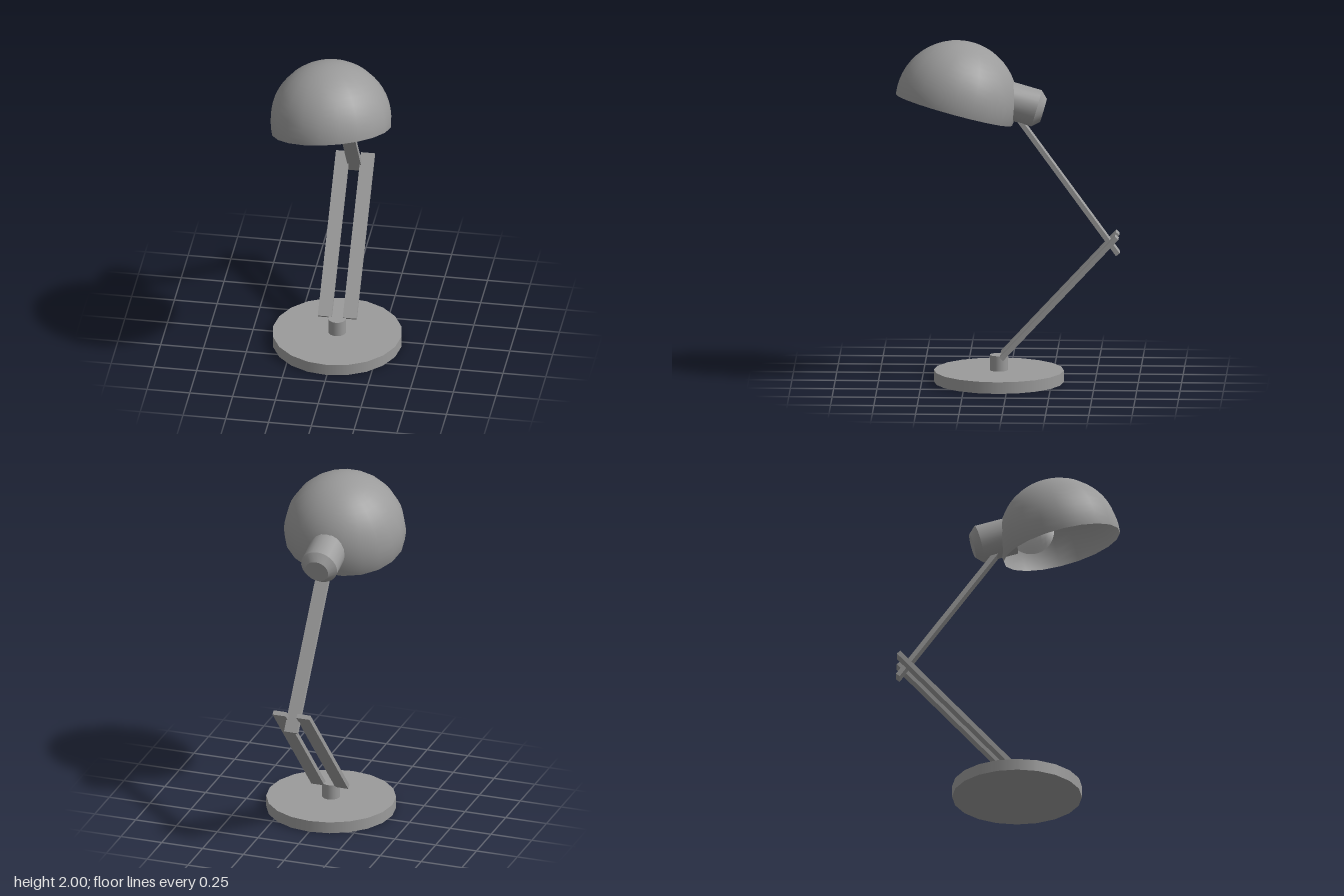
import * as THREE from 'three';
import { toCreasedNormals } from 'three/addons/utils/BufferGeometryUtils.js';

const UP = new THREE.Vector3(0, 1, 0);
const SIDES = 20;

export function createModel() {
  const lamp = new THREE.Group();
  lamp.name = 'deskLamp';
  const darkGrey = new THREE.MeshStandardMaterial({ color: 0x9b9b9b });
  const darkGreyOpen = new THREE.MeshStandardMaterial({ color: 0x9b9b9b, side: THREE.DoubleSide });
  const lightGrey = new THREE.MeshStandardMaterial({ color: 0xcccccc });

  const add = (name, geometry, position, axis = UP, material = darkGrey) => {
    const mesh = new THREE.Mesh(geometry, material);
    mesh.name = name;
    mesh.position.set(...position);
    mesh.quaternion.setFromUnitVectors(UP, axis);
    lamp.add(mesh);
    return mesh;
  };

  // Flat bar between two points [z, y] of the side plane, offset to x
  const addBar = (name, x, [z0, y0], [z1, y1]) => {
    const length = Math.hypot(z1 - z0, y1 - y0);
    const bar = add(name, new THREE.BoxGeometry(0.08, length, 0.027), [x, (y0 + y1) / 2, (z0 + z1) / 2]);
    bar.rotation.x = Math.atan2(z1 - z0, y1 - y0);
  };

  // Foot: weighted disc with a short post
  add('base', new THREE.CylinderGeometry(0.375, 0.375, 0.068, SIDES), [0, 0.034, 0.055]);
  add('post', new THREE.CylinderGeometry(0.052, 0.052, 0.1, SIDES), [0, 0.108, 0.055]);

  // Two lower bars and one upper bar, crossing at the elbow
  addBar('lowerArmLeft', 0.071, [0.037, 0.151], [-0.629, 0.868]);
  addBar('lowerArmRight', -0.075, [0.037, 0.151], [-0.629, 0.868]);
  addBar('upperArm', -0.001, [-0.633, 0.757], [-0.045, 1.567]);

  // Shade: a little more than half a sphere, open below, tipped forward and sideways
  const shadeAxis = new THREE.Vector3(-0.12, 1, -0.27).normalize();
  add('shade', new THREE.SphereGeometry(0.352, SIDES, 14, 0, Math.PI * 2, 0, THREE.MathUtils.degToRad(99)),
    [0.003, 1.648, 0.3], shadeAxis, darkGreyOpen);

  // Socket: cylinder with a bevelled back end, reaching into the shade
  const socketAxis = new THREE.Vector3(0, -0.28, -0.96).normalize();
  const profile = [[0, 0], [0.11, 0], [0.11, 0.2], [0.07, 0.242], [0, 0.242]]
    .map(([r, h]) => new THREE.Vector2(r, h));
  add('socket', toCreasedNormals(new THREE.LatheGeometry(profile, SIDES), 0.5),
    [-0.004, 1.663, 0.03], socketAxis);

  // Lighter bulb in line with the socket
  add('bulb', new THREE.SphereGeometry(0.134, SIDES, 14), [-0.005, 1.69, 0.135], socketAxis, lightGrey);

  return lamp;
}
